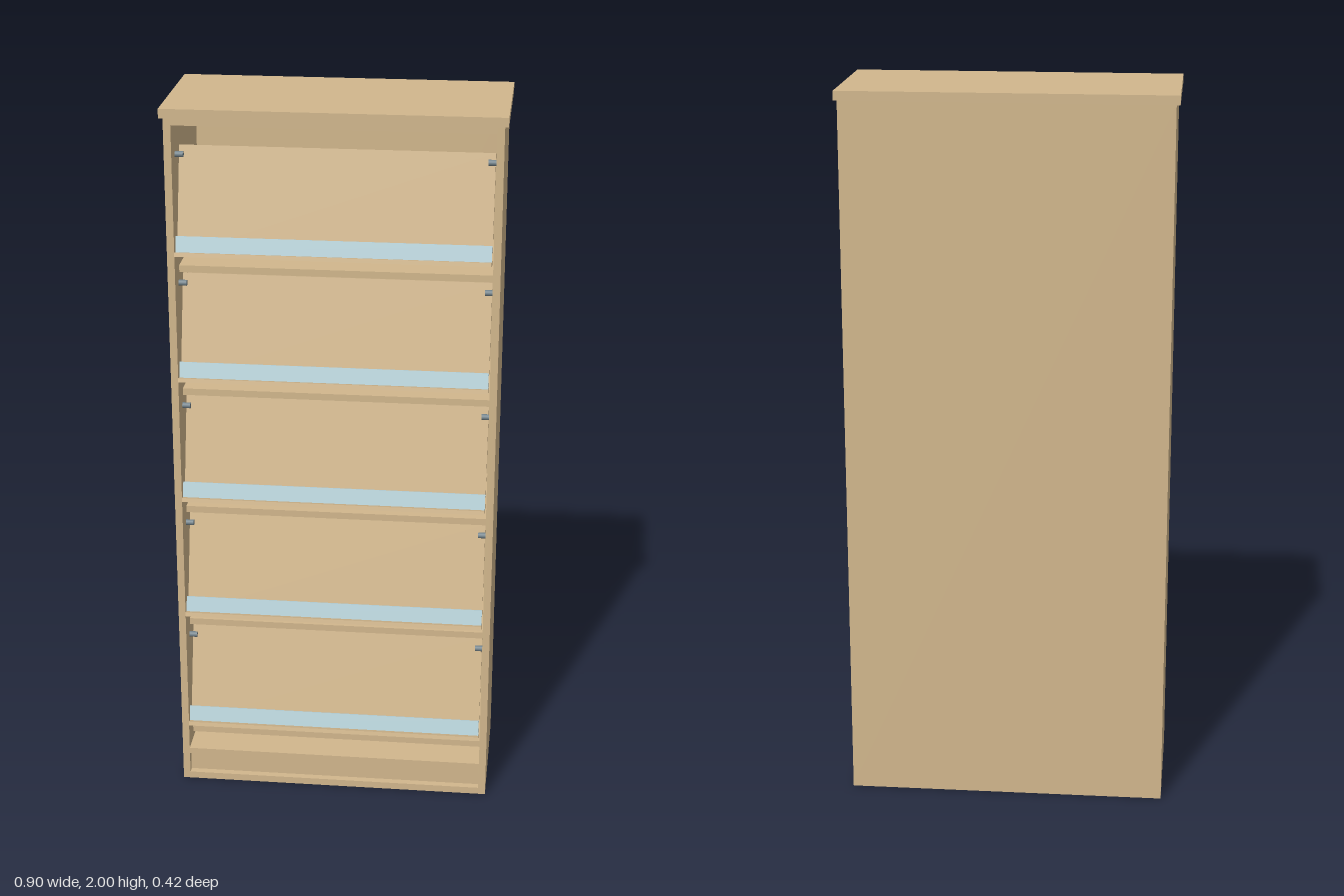
import * as THREE from 'three';

export function createModel() {
  const model = new THREE.Group();
  model.name = 'displayCabinet';

  const mat = (name, color) => {
    const m = new THREE.MeshStandardMaterial({ color });
    m.name = name;
    return m;
  };
  const wood = mat('lightWood', 0xd2b78d);
  const glass = mat('paleGlass', 0xb8d3da);
  const steel = mat('steel', 0x74848c);

  // Box given by its limits on each axis
  const box = (name, x0, x1, y0, y1, z0, z1, material = wood, parent = model) => {
    const mesh = new THREE.Mesh(new THREE.BoxGeometry(x1 - x0, y1 - y0, z1 - z0), material);
    mesh.position.set((x0 + x1) / 2, (y0 + y1) / 2, (z0 + z1) / 2);
    mesh.name = name;
    parent.add(mesh);
    return mesh;
  };

  const W = 0.442, IN = 0.422, FRONT = 0.184, BACK = -0.209, INBACK = -0.2;

  // Carcass
  box('topBoard', -0.452, 0.452, 1.975, 2, BACK, 0.193);
  box('leftSide', IN, W, 0, 1.975, INBACK, FRONT);
  box('rightSide', -W, -IN, 0, 1.975, INBACK, FRONT);
  box('backPanel', -W, W, 0, 1.975, BACK, INBACK);
  box('upperBoard', -IN, IN, 1.955, 1.975, INBACK, FRONT);
  box('bottomBoard', -IN, IN, 0, 0.02, INBACK, FRONT);
  box('baseShelf', -IN, IN, 0.082, 0.1, INBACK, FRONT);
  box('kickBoard', -IN, IN, 0.02, 0.082, 0.144, 0.164);

  // Five bays, each with a fixed shelf and a tilted display flap
  const tilt = Math.atan2(0.075, 0.28);
  for (let i = 0; i < 5; i++) {
    const bay = new THREE.Group();
    bay.name = 'displayBay' + (i + 1);
    bay.position.y = i * 0.3545;
    model.add(bay);

    box('fixedShelf', -IN, IN, 0.119, 0.138, INBACK, 0.12, wood, bay);

    // Flap built upright with its lower front edge at the origin, then leaned back
    const flap = new THREE.Group();
    flap.name = 'tiltedFlap';
    flap.position.set(0, 0.186, 0.163);
    flap.rotation.x = -tilt;
    bay.add(flap);
    box('flapPanel', -0.418, 0.418, -0.008, 0.286, -0.015, 0, wood, flap);
    box('flapLedge', -0.418, 0.418, -0.008, 0.003, 0, 0.046, wood, flap);
    box('glassLip', -0.418, 0.418, 0.003, 0.046, 0.023, 0.028, glass, flap);

    // Pivot pins on the inner side walls
    for (const s of [-1, 1]) {
      const pin = new THREE.Mesh(new THREE.CylinderGeometry(0.008, 0.008, 0.022, 16), steel);
      pin.name = s > 0 ? 'leftPin' : 'rightPin';
      pin.rotation.z = Math.PI / 2;
      pin.position.set(s * 0.411, 0.447, 0.13);
      bay.add(pin);
    }
  }
  return model;
}
